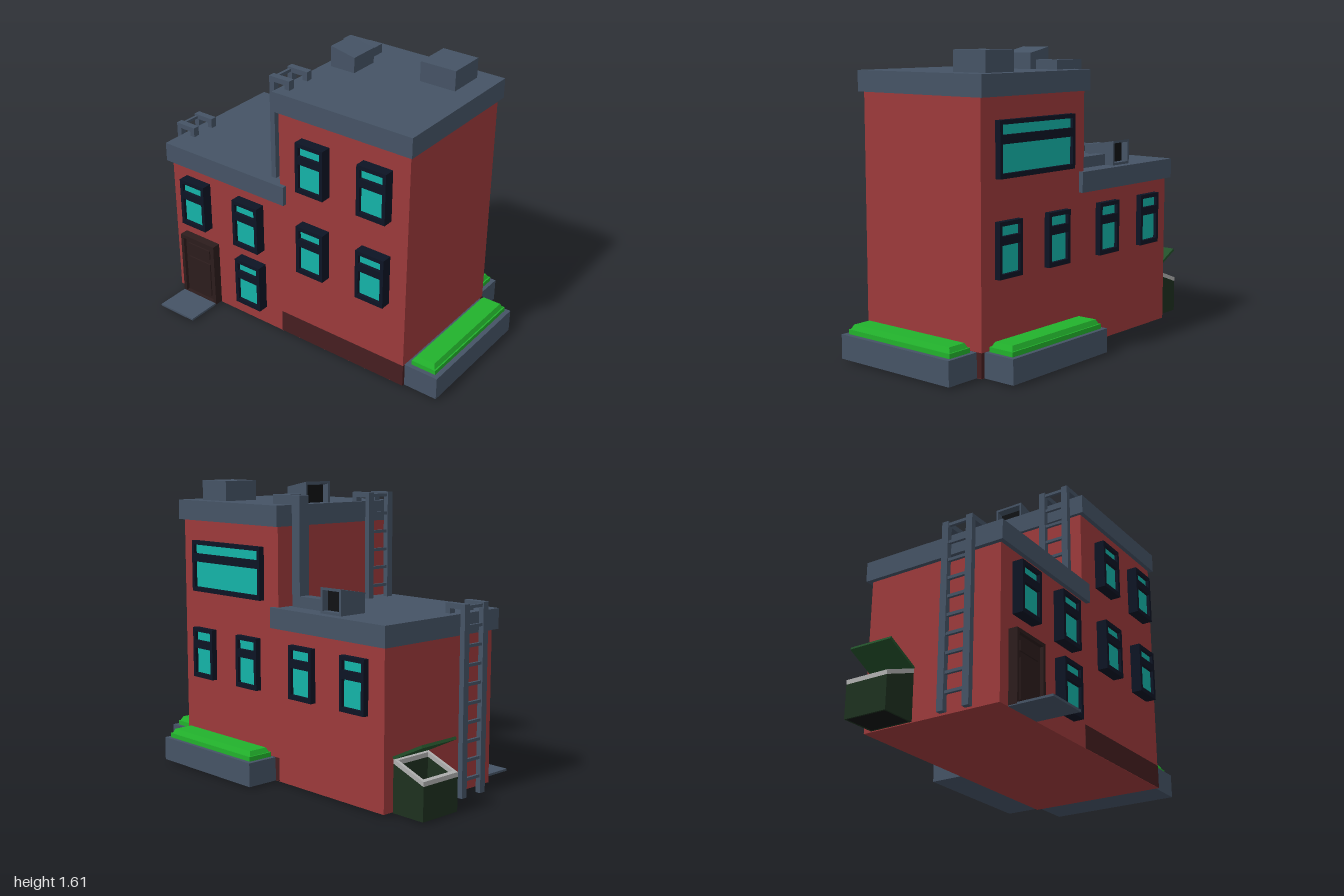
import * as THREE from 'three';

const mat = (color, side = THREE.FrontSide) => {
  const m = new THREE.MeshStandardMaterial({ flatShading: true, side });
  m.color.set(color);
  return m;
};
const RED = mat(0x9c3a3b), SLATE = mat(0x455365), BASE = mat(0x451e20), FRAME = mat(0x0d1424),
  GLASS = mat(0x14b3a8), LEAF = mat(0x22b22c), DOOR = mat(0x2c1c1c), BIN = mat(0x1d301f),
  LID = mat(0x22502a), RIM = mat(0xb0b0b0), DARK = mat(0x101214);

function add(parent, name, geometry, material) {
  const mesh = new THREE.Mesh(geometry, material);
  mesh.name = name;
  parent.add(mesh);
  return mesh;
}

// Box given by its extents on each axis
function box(parent, name, material, x0, x1, y0, y1, z0, z1) {
  const g = new THREE.BoxGeometry(x1 - x0, y1 - y0, z1 - z0);
  g.translate((x0 + x1) / 2, (y0 + y1) / 2, (z0 + z1) / 2);
  return add(parent, name, g, material);
}

function group(parent, name) {
  const g = new THREE.Group();
  g.name = name;
  parent.add(g);
  return g;
}

// Move every vertex of a geometry by a rule
function reshape(geometry, rule) {
  const p = geometry.attributes.position, v = new THREE.Vector3();
  for (let i = 0; i < p.count; i++) {
    rule(v.fromBufferAttribute(p, i));
    p.setXYZ(i, v.x, v.y, v.z);
  }
  geometry.computeVertexNormals();
  return geometry;
}

// Extruded rectangle with rectangular holes; rectangles are [x0, x1, y0, y1]
function panel(outer, holes, depth) {
  const pts = ([a, b, c, d]) => [[a, c], [b, c], [b, d], [a, d]].map(p => new THREE.Vector2(...p));
  const shape = new THREE.Shape(pts(outer));
  shape.holes = holes.map(h => new THREE.Path(pts(h).reverse()));
  return new THREE.ExtrudeGeometry(shape, { depth, bevelEnabled: false });
}

// Two-pane window facing local +z, bottom centre at the origin
function sashWindow(parent, name, x, y, w, depth, back) {
  const g = group(parent, name), h = w / 2, i = h - 0.02;
  add(g, 'windowFrame', panel([-h, h, 0, 0.285], [[-i, i, 0.025, 0.168], [-i, i, 0.213, 0.263]], depth), FRAME);
  box(g, 'windowGlass', GLASS, -i - 0.005, i + 0.005, 0.02, 0.268, 0.003, depth - 0.018);
  g.position.set(x, y, back ? -0.43 : 0.365);
  if (back) g.rotation.y = Math.PI;
}

// Planter trough with a chamfered hedge; hedge extents are inset on each side
function planter(parent, name, x0, x1, z0, z1, hx0, hx1, hz0, hz1) {
  const g = group(parent, name);
  box(g, 'trough', SLATE, x0, x1, 0.01, 0.14, z0, z1);
  box(g, 'hedgeBase', LEAF, hx0, hx1, 0.13, 0.165, hz0, hz1);
  const w = hx1 - hx0 - 0.012, d = hz1 - hz0 - 0.012;
  const top = reshape(new THREE.BoxGeometry(w, 0.028, d), v => {
    if (v.y > 0) { v.x -= Math.sign(v.x) * 0.014; v.z -= Math.sign(v.z) * 0.014; }
  });
  add(g, 'hedgeTop', top, LEAF).position.set((hx0 + hx1) / 2, 0.176, (hz0 + hz1) / 2);
}

// Ladder hooked over a roof edge
function ladder(parent, name, x, y0, y1, roofY, z) {
  const g = group(parent, name);
  for (const s of [-0.073, 0.073]) {
    const a = z + s - 0.019, b = z + s + 0.019;
    box(g, 'rail', SLATE, x, x + 0.03, y0, y1, a, b);
    box(g, 'hook', SLATE, x + 0.03, x + 0.13, y1 - 0.028, y1, a, b);
    box(g, 'hookFoot', SLATE, x + 0.1, x + 0.13, roofY, y1 - 0.028, a, b);
  }
  for (let y = y1 - 0.025; y > y0 + 0.04; y -= 0.1)
    box(g, 'rung', SLATE, x + 0.007, x + 0.023, y, y + 0.016, z - 0.055, z + 0.055);
}

// Vent hood rising towards its open end at local +z
function ventHood(parent, name, w, d, x, y, z, turn) {
  const g = group(parent, name), h = w / 2, t = 0.013;
  const slope = v => { v.y *= 0.105 + 0.03 * v.z / d; };
  add(g, 'hood', reshape(panel([-h, h, 0, 1], [[-h + t, h - t, 0.1, 0.9]], d), slope), SLATE);
  add(g, 'hoodBack', reshape(panel([-h + t, h - t, 0.1, 0.9], [], 0.015), slope), SLATE);
  add(g, 'hoodInside', reshape(panel([-h + t, h - t, 0.1, 0.9], [], d - 0.04), slope), DARK);
  g.position.set(x, y, z);
  g.rotation.y = turn;
}

// Open waste bin with a sloping top, light rim and raised lid
function wasteBin(parent) {
  const g = group(parent, 'wasteBin'), W = 0.1, D = 0.125, slope = 0.375;
  const wall = (t, h) => panel([-W, W, -D, D], [[-W + t, W - t, -D + t, D - t]], h).rotateX(-Math.PI / 2);
  add(g, 'binWalls', reshape(wall(0.012, 0.215), v => { if (v.y > 0.1) v.y += v.x * slope; }), BIN);
  add(g, 'binRim', reshape(wall(0.018, 0.024), v => { v.y += 0.215 + v.x * slope; }), RIM);
  box(g, 'binFloor', DARK, -W + 0.01, W - 0.01, 0, 0.1, -D + 0.01, D - 0.01);
  const lid = box(g, 'binLid', LID, -0.212, 0, 0, 0.015, -D, D);
  lid.position.set(W, 0.272, 0);
  lid.rotation.z = -0.46;
  g.position.set(-0.9, 0.01, -0.255);
}

export function createModel() {
  const model = new THREE.Group();
  model.name = 'house';

  // Walls and roofs
  box(model, 'lowWalls', RED, -0.79, 0, 0.01, 0.85, -0.435, 0.37);
  box(model, 'tallWalls', RED, -0.01, 0.8, 0.01, 1.39, -0.435, 0.37);
  box(model, 'baseBand', BASE, -0.01, 0.802, 0.012, 0.14, -0.437, 0.372);
  box(model, 'lowRoof', SLATE, -0.815, 0.03, 0.845, 0.955, -0.46, 0.395);
  box(model, 'tallRoof', SLATE, -0.03, 0.82, 1.38, 1.49, -0.46, 0.395);

  // Windows
  for (const x of [-0.602, -0.218, 0.228, 0.612]) {
    sashWindow(model, 'frontWindow', x, 0.495, 0.175, 0.065, false);
    sashWindow(model, 'backWindow', x + (x < 0 ? 0.01 : 0), 0.488, 0.175, 0.037, true);
    if (x > 0) sashWindow(model, 'upperFrontWindow', x, 0.985, 0.175, 0.065, false);
  }
  sashWindow(model, 'groundWindow', -0.212, 0.12, 0.175, 0.065, false);
  sashWindow(model, 'wideBackWindow', 0.4, 0.982, 0.59, 0.037, true);

  // Door and step
  const door = group(model, 'frontDoor');
  add(door, 'doorFrame', panel([-0.72, -0.47, 0.015, 0.405], [[-0.7, -0.49, 0.025, 0.385]], 0.055), DOOR)
    .position.z = 0.365;
  box(door, 'doorLeaf', DOOR, -0.705, -0.485, 0.02, 0.39, 0.365, 0.4);
  box(door, 'upperDoorPanel', DOOR, -0.675, -0.515, 0.3, 0.355, 0.39, 0.408);
  box(door, 'lowerDoorPanel', DOOR, -0.675, -0.515, 0.05, 0.265, 0.39, 0.408);
  box(model, 'doorStep', SLATE, -0.72, -0.475, 0.01, 0.022, 0.36, 0.615);

  // Planters
  planter(model, 'sidePlanter', 0.8, 1, -0.405, 0.355, 0.827, 0.973, -0.385, 0.33);
  planter(model, 'backPlanter', 0.02, 0.78, -0.62, -0.435, 0.045, 0.757, -0.597, -0.447);

  // Roof vents and the duct joining them
  ventHood(model, 'lowVent', 0.15, 0.17, -0.385, 0.955, -0.24, Math.PI);
  ventHood(model, 'tallVent', 0.175, 0.15, 0.165, 1.47, -0.1275, -Math.PI / 2);
  box(model, 'roofBox', SLATE, 0.49, 0.7, 1.49, 1.6, -0.38, -0.165);
  const duct = group(model, 'duct');
  box(duct, 'lowDuct', SLATE, -0.315, -0.09, 0.955, 1.015, -0.355, -0.29);
  box(duct, 'ductRiser', SLATE, -0.09, -0.03, 0.955, 1.54, -0.355, -0.29);
  box(duct, 'topDuct', SLATE, -0.03, 0.12, 1.49, 1.54, -0.355, -0.29);
  box(duct, 'ductTurn', SLATE, 0.055, 0.12, 1.49, 1.54, -0.29, -0.2);
  model.getObjectByName('tallVent').position.y = 1.47;

  // Ladders
  ladder(model, 'lowLadder', -0.865, 0, 1.01, 0.955, 0.155);
  ladder(model, 'tallLadder', -0.095, 0.955, 1.54, 1.49, 0.243);

  wasteBin(model);
  return model;
}
